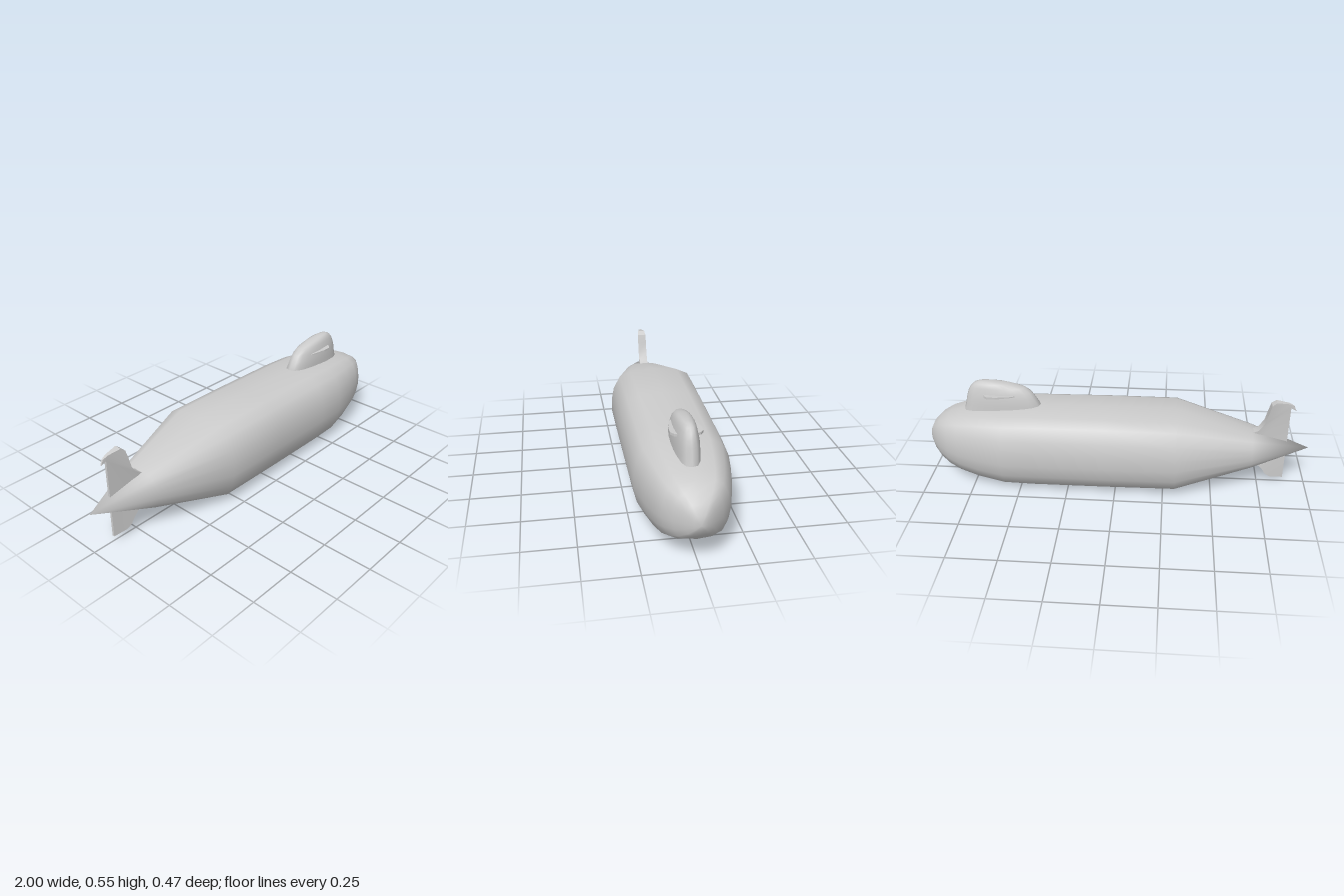
import * as THREE from 'three';
import { mergeVertices, toCreasedNormals } from 'three/addons/utils/BufferGeometryUtils.js';

const material = new THREE.MeshStandardMaterial({ color: 0xcccccc });
const thinMaterial = new THREE.MeshStandardMaterial({ color: 0xcccccc, side: THREE.DoubleSide });

// Smooth skin over closed rings of [x, y, z] points
function loft(rings) {
  const n = rings[0].length;
  const index = [];
  for (let i = 0; i < rings.length - 1; i++) {
    for (let j = 0; j < n; j++) {
      const k = (j + 1) % n;
      const a = i * n + j, b = i * n + k, c = a + n, d = b + n;
      index.push(a, c, b, b, c, d);
    }
  }
  const geo = new THREE.BufferGeometry();
  geo.setAttribute('position', new THREE.Float32BufferAttribute(rings.flat(2), 3));
  geo.setIndex(index);
  const merged = mergeVertices(geo, 1e-5);
  merged.computeVertexNormals();
  return merged;
}

// Flat outline in the x-y plane, thickness set along x
function taperedPlate(points, halfThickness) {
  const shape = new THREE.Shape(points.map(([x, y]) => new THREE.Vector2(x, y)));
  const geo = new THREE.ExtrudeGeometry(shape, { depth: 2, bevelEnabled: false, steps: 1 });
  const p = geo.attributes.position;
  for (let i = 0; i < p.count; i++) {
    p.setZ(i, (p.getZ(i) - 1) * halfThickness(p.getX(i)));
  }
  geo.computeVertexNormals();
  return toCreasedNormals(geo, 0.6);
}

export function createModel() {
  const group = new THREE.Group();
  const add = (name, geo, mat = material) => {
    const mesh = new THREE.Mesh(geo, mat);
    mesh.name = name;
    group.add(mesh);
  };

  // Hull: rounded-square section [z, y], scaled at each station
  const side = [[0.55, -0.94], [0.8, -0.81], [0.945, -0.5], [1, -0.17],
    [1, 0.17], [0.945, 0.5], [0.8, 0.81], [0.55, 0.94]];
  const section = [[0, -1], ...side, [0, 1], ...side.map(([z, y]) => [-z, y]).reverse()];
  // x, bottom, top, half width
  const stations = [
    [-1, 0.217, 0.217, 0], [-0.7, 0.122, 0.313, 0.12], [-0.31, 0.012, 0.422, 0.237],
    [0.05, 0.005, 0.424, 0.234], [0.42, 0.002, 0.42, 0.231], [0.58, 0.004, 0.412, 0.226],
    [0.72, 0.025, 0.398, 0.197], [0.82, 0.052, 0.38, 0.17], [0.88, 0.08, 0.364, 0.146],
    [0.93, 0.11, 0.338, 0.108], [0.97, 0.15, 0.3, 0.063], [0.99, 0.185, 0.258, 0.03],
    [1, 0.217, 0.217, 0],
  ];
  add('hull', loft(stations.map(([x, lo, hi, w]) =>
    section.map(([z, y]) => [x, (lo + hi) / 2 + y * (hi - lo) / 2, z * w]))));

  // Sail: stacked rounded outlines: y, rear x, front x, half width
  const levels = [
    [0.35, 0.385, 0.81, 0.062], [0.42, 0.397, 0.79, 0.06], [0.46, 0.422, 0.781, 0.057],
    [0.49, 0.442, 0.771, 0.05], [0.515, 0.478, 0.758, 0.043], [0.535, 0.56, 0.738, 0.033],
    [0.544, 0.63, 0.715, 0.018], [0.547, 0.68, 0.68, 0],
  ];
  const sides = 20;
  add('sail', loft(levels.map(([y, back, front, w]) =>
    Array.from({ length: sides }, (_, i) => {
      const a = i / sides * Math.PI * 2, s = Math.sin(a);
      const z = Math.sign(s) * Math.pow(Math.abs(s), 0.75) * w;
      return [(back + front) / 2 + Math.cos(a) * (front - back) / 2, y, z];
    }))));

  // Thin diving planes on both sides of the sail
  for (const s of [1, -1]) {
    const outline = [[0.49, 0.03], [0.54, 0.056], [0.62, 0.074], [0.66, 0.074], [0.68, 0.06], [0.69, 0.03]];
    const shape = new THREE.Shape(outline.map(([x, z]) => new THREE.Vector2(x, z * s)));
    const geo = new THREE.ExtrudeGeometry(shape, { depth: 0.012, bevelEnabled: false });
    const p = geo.attributes.position;
    // Taper toward the rear edge
    for (let i = 0; i < p.count; i++) {
      const t = 0.25 + 0.75 * THREE.MathUtils.clamp((p.getX(i) - 0.5) / 0.15, 0, 1);
      p.setZ(i, (p.getZ(i) - 0.006) * t);
    }
    geo.rotateX(Math.PI / 2);
    geo.translate(0, 0.481, 0);
    geo.computeVertexNormals();
    add(s > 0 ? 'leftDivingPlane' : 'rightDivingPlane', geo, thinMaterial);
  }

  // Tail fins, thick at the leading edge and thin behind
  const finThickness = (x) => THREE.MathUtils.clamp(0.004 + (x + 0.9) * 0.16, 0.003, 0.024);
  add('upperTailFin', taperedPlate([
    [-0.885, 0.22], [-0.7, 0.22], [-0.7, 0.305], [-0.735, 0.322], [-0.762, 0.365], [-0.775, 0.42],
    [-0.788, 0.465], [-0.81, 0.483], [-0.875, 0.474], [-0.9, 0.462], [-0.912, 0.435], [-0.885, 0.45],
  ], finThickness), thinMaterial);
  add('lowerTailFin', taperedPlate([
    [-0.885, 0.22], [-0.885, 0.03], [-0.815, 0.038], [-0.79, 0.055], [-0.77, 0.088],
    [-0.745, 0.112], [-0.7, 0.126], [-0.7, 0.22],
  ], finThickness), thinMaterial);

  return group;
}
